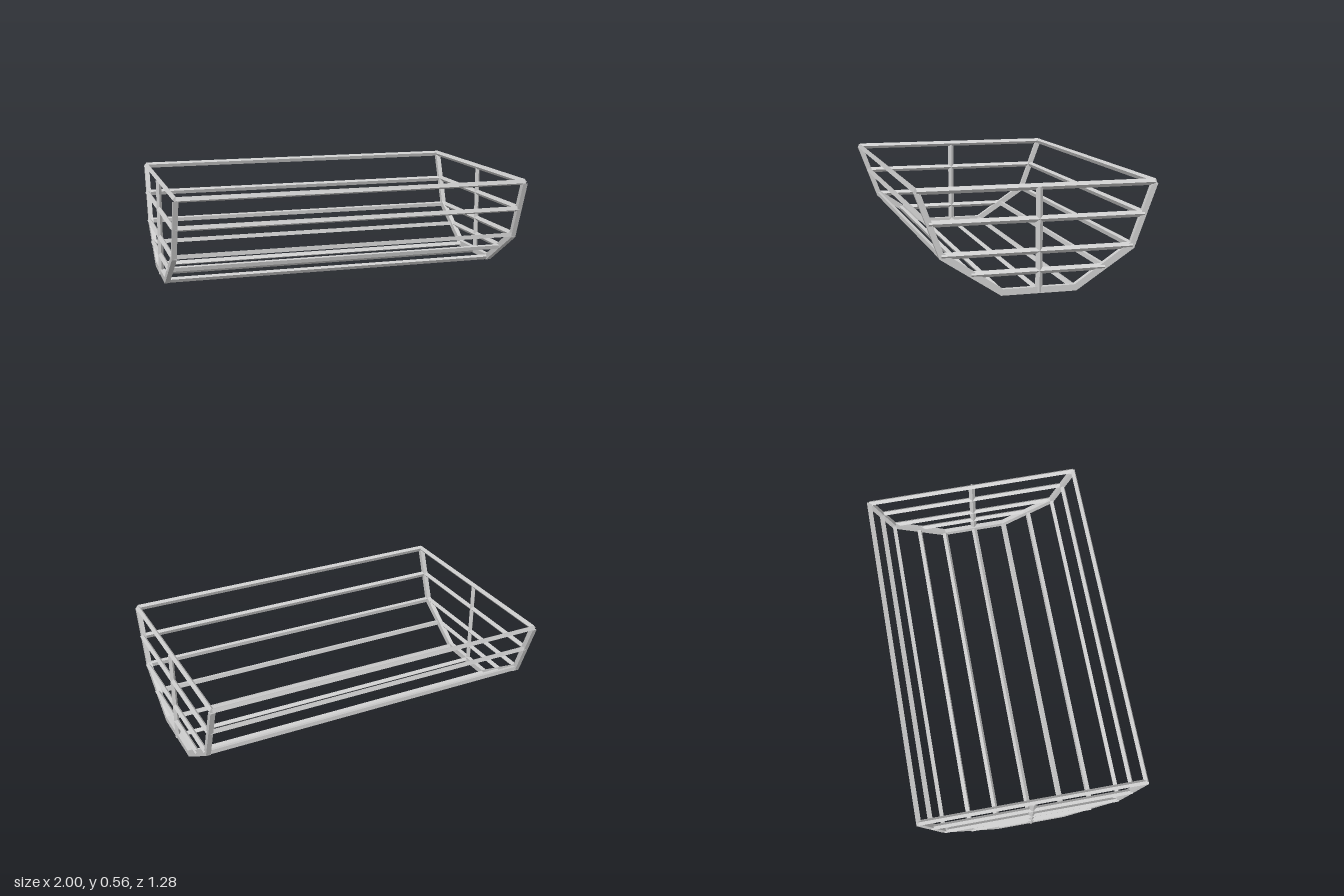
import * as THREE from 'three';

const material = new THREE.MeshStandardMaterial({ color: 0xcccccc, flatShading: true });

// Four-sided bar with ridges: half-diagonal a along u, half-diagonal b across it
function bar(name, from, to, u, a, b) {
  const dir = to.clone().sub(from);
  const length = dir.length();
  dir.normalize();
  const side = u.clone().normalize();
  const geometry = new THREE.CylinderGeometry(1, 1, length, 4, 1);
  geometry.scale(a, 1, b);
  geometry.applyMatrix4(new THREE.Matrix4().makeBasis(side, dir, side.clone().cross(dir)));
  const mid = from.clone().add(to).multiplyScalar(0.5);
  geometry.translate(mid.x, mid.y, mid.z);
  const mesh = new THREE.Mesh(geometry, material);
  mesh.name = name;
  return mesh;
}

// End rib: angular U-shaped band, mitred at its corners
function endRib(x) {
  const outer = [[0.64, 0.54], [0.515, 0.205], [0.2, 0]];
  const inner = [[0.605, 0.533], [0.496, 0.237], [0.19, 0.033]];
  const mirror = (pts) => pts.map(([z, y]) => [-z, y]).reverse();
  const outline = [...outer, ...mirror(outer), ...[...inner, ...mirror(inner)].reverse()];
  const shape = new THREE.Shape(outline.map(([z, y]) => new THREE.Vector2(z, y)));
  const depth = 0.027;
  const geometry = new THREE.ExtrudeGeometry(shape, { depth, bevelEnabled: false });
  geometry.translate(0, 0, -depth / 2);
  geometry.rotateY(-Math.PI / 2);
  geometry.translate(x, 0, 0);
  const mesh = new THREE.Mesh(geometry, material);
  mesh.name = 'endRib';
  return mesh;
}

export function createModel() {
  const V = (x, y, z) => new THREE.Vector3(x, y, z);
  const group = new THREE.Group();
  group.name = 'basketFrame';
  const endX = 0.979;

  // Levels of the frame: z, y and outward direction (z, y)
  const levels = [
    { name: 'rim', z: 0.626, y: 0.547, n: [0.935, -0.35] },
    { name: 'upper', z: 0.568, y: 0.384, n: [0.935, -0.35] },
    { name: 'middle', z: 0.506, y: 0.22, n: [0.8, -0.6] },
    { name: 'lower', z: 0.354, y: 0.117, n: [0.55, -0.835] },
    { name: 'bottom', z: 0.194, y: 0.016, n: [0.29, -0.957] },
  ];

  // Long rails on both sides
  for (const { name, z, y, n } of levels) {
    for (const s of [-1, 1]) {
      group.add(bar(name + 'Rail', V(-endX, y, s * z), V(endX, y, s * z), V(0, n[1], s * n[0]), 0.015, 0.017));
    }
  }
  // Rail under the middle
  group.add(bar('keelRail', V(-endX, 0.015, 0), V(endX, 0.015, 0), V(0, -1, 0), 0.015, 0.017));

  // Ends: rib, crossbars and centre post
  for (const s of [-1, 1]) {
    const x = s * endX;
    group.add(endRib(x));
    for (const { name, z, y } of levels.slice(0, 4)) {
      const barX = name === 'rim' ? x : s * 0.985;
      group.add(bar(name + 'Crossbar', V(barX, y, -z), V(barX, y, z), V(0, 1, 0), 0.0175, 0.015));
    }
    group.add(bar('centrePost', V(s * 0.985, 0.004, 0), V(s * 0.985, 0.548, 0), V(0, 0, 1), 0.019, 0.015));
  }
  return group;
}
